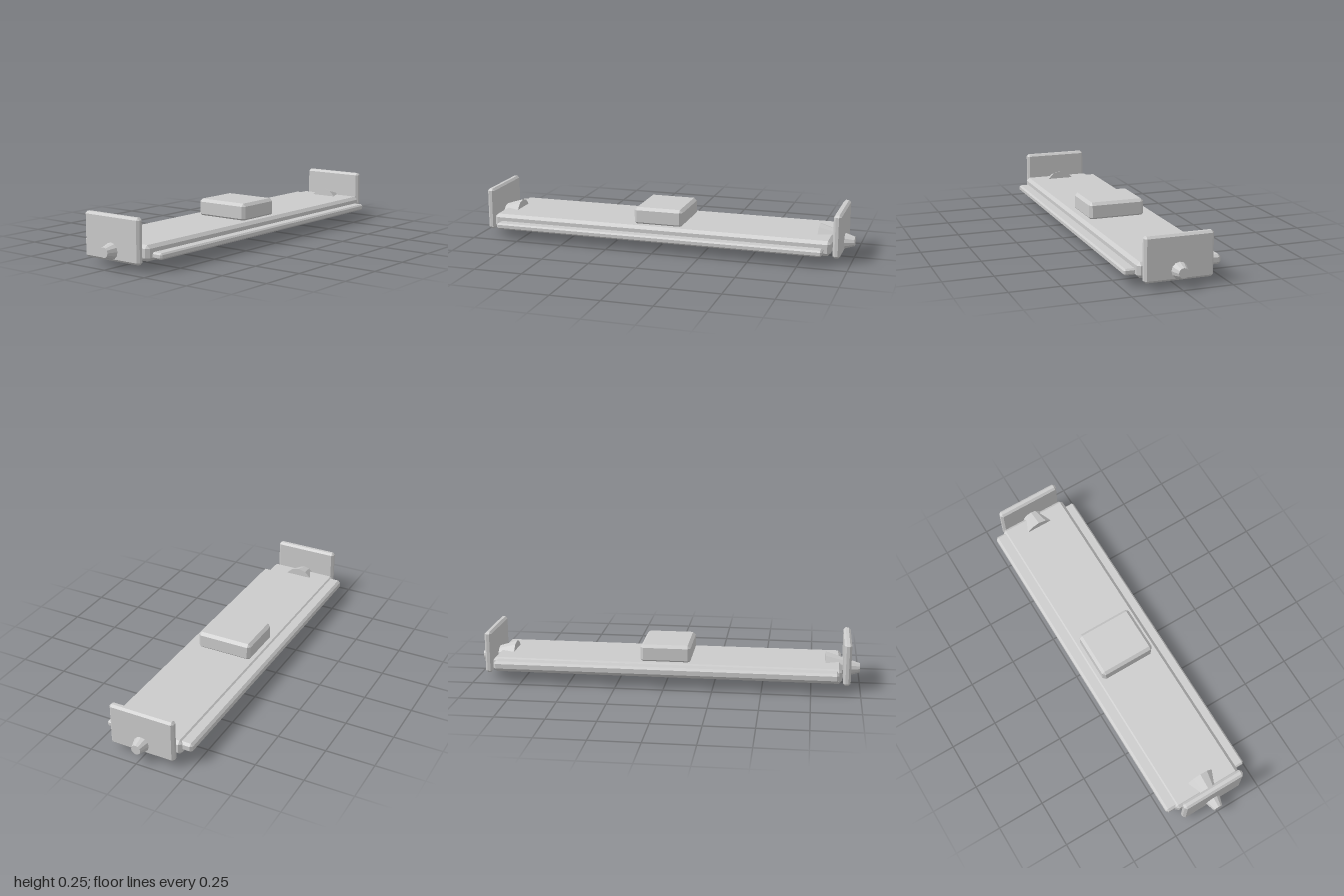
import * as THREE from 'three';
import { ConvexGeometry } from 'three/addons/geometries/ConvexGeometry.js';

const material = new THREE.MeshStandardMaterial({ color: 0xcccccc, flatShading: true });

// Box between two corners with every edge chamfered by c
function chamferBox(name, min, max, c) {
  const half = min.map((v, i) => (max[i] - v) / 2);
  const points = [];
  for (const sx of [-1, 1]) for (const sy of [-1, 1]) for (const sz of [-1, 1]) {
    for (let axis = 0; axis < 3; axis++) {
      // this corner point stays full size on one axis and is inset on the others
      const [x, y, z] = half.map((h, i) => (i === axis ? h : h - c));
      points.push(new THREE.Vector3(sx * x, sy * y, sz * z));
    }
  }
  const mesh = new THREE.Mesh(new ConvexGeometry(points), material);
  mesh.position.set(...min.map((v, i) => v + half[i]));
  mesh.name = name;
  return mesh;
}

export function createModel() {
  const model = new THREE.Group();
  model.name = 'wing';

  // Main plane with thinner flaps along the front and back edges
  model.add(chamferBox('mainPlane', [-0.905, 0.045, -0.19], [0.905, 0.122, 0.185], 0.016));
  model.add(chamferBox('frontFlap', [-0.87, 0.055, 0.13], [0.87, 0.087, 0.238], 0.008));
  model.add(chamferBox('rearFlap', [-0.89, 0.067, -0.24], [0.89, 0.115, -0.13], 0.012));

  // Raised block in the middle
  model.add(chamferBox('centreBlock', [-0.13, 0.115, -0.157], [0.13, 0.209, 0.143], 0.015));

  // Upright end plates, each pierced by a tapered twelve-sided plug
  for (const side of [-1, 1]) {
    const name = side > 0 ? 'left' : 'right';
    const xs = [side * 0.912, side * 0.95].sort((a, b) => a - b);
    model.add(chamferBox(name + 'EndPlate', [xs[0], 0.033, -0.175], [xs[1], 0.254, 0.169], 0.011));

    const cone = new THREE.CylinderGeometry(0.025, 0.082, 0.18, 12);
    const plug = new THREE.Mesh(cone, material);
    plug.name = name + 'Plug';
    plug.rotation.z = -side * Math.PI / 2;
    plug.position.set(side * 0.91, 0.082, -0.002);
    model.add(plug);
  }
  return model;
}
